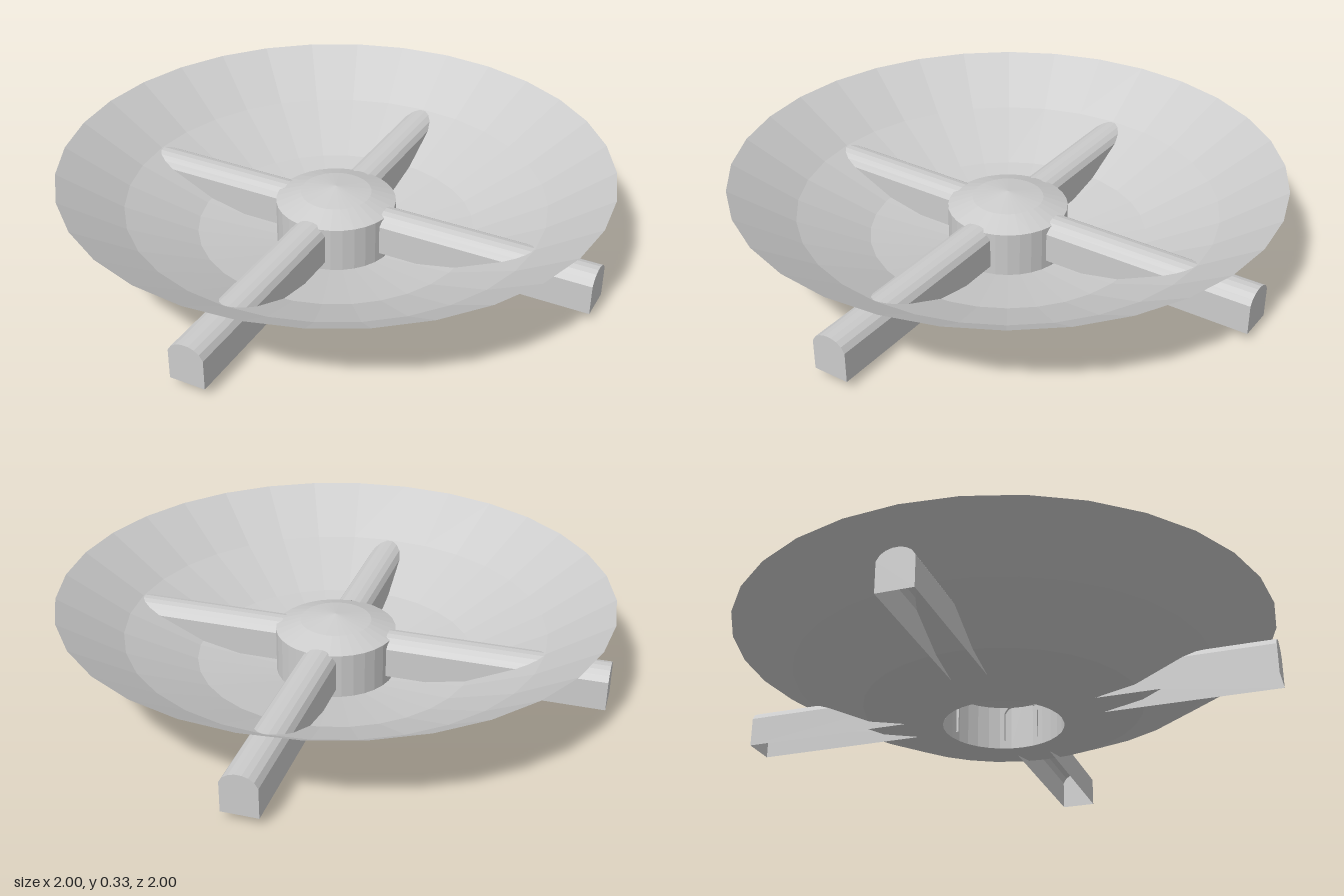
import * as THREE from 'three';
import { mergeGeometries } from 'three/addons/utils/BufferGeometryUtils.js';

const material = new THREE.MeshStandardMaterial({
  color: 0xcccccc, flatShading: true, side: THREE.DoubleSide,
});

function lathe(name, points) {
  const profile = points.map(([r, y]) => new THREE.Vector2(r, y));
  const mesh = new THREE.Mesh(new THREE.LatheGeometry(profile, 32), material);
  mesh.name = name;
  return mesh;
}

// Hollow arched channel along +z: open underneath and at the hub, closed at the tip
function armGeometry(inner, outer) {
  const arch = [
    [0.065, 0.03], [0.065, 0.14], [0.052, 0.16], [0.033, 0.172], [0.012, 0.178],
    [-0.012, 0.178], [-0.033, 0.172], [-0.052, 0.16], [-0.065, 0.14], [-0.065, 0.03],
  ];
  const positions = [];
  for (let i = 0; i < arch.length - 1; i++) {
    const [ax, ay] = arch[i], [bx, by] = arch[i + 1];
    positions.push(ax, ay, outer, ax, ay, inner, bx, by, inner);
    positions.push(ax, ay, outer, bx, by, inner, bx, by, outer);
  }
  const walls = new THREE.BufferGeometry();
  walls.setAttribute('position', new THREE.Float32BufferAttribute(positions, 3));
  walls.computeVertexNormals();

  const tip = new THREE.ShapeGeometry(
    new THREE.Shape(arch.map(([x, y]) => new THREE.Vector2(x, y)))).toNonIndexed();
  tip.translate(0, 0, outer);
  tip.deleteAttribute('uv');
  return mergeGeometries([walls, tip]);
}

export function createModel() {
  const model = new THREE.Group();
  model.name = 'dishWithArms';

  // Open dish with a round hole under the hub
  model.add(lathe('dish', [[0.22, 0], [0.51, 0.06], [0.77, 0.18], [1, 0.33]]));

  // Hollow hub with a shallow domed cap
  model.add(lathe('hubWall', [[0.22, 0], [0.22, 0.167]]));
  model.add(lathe('hubCap', [[0.22, 0.167], [0.13, 0.2], [0, 0.222]]));

  // Four arms passing through the dish
  const geometry = armGeometry(0.2, 1);
  ['frontArm', 'leftArm', 'backArm', 'rightArm'].forEach((name, i) => {
    const arm = new THREE.Mesh(geometry, material);
    arm.name = name;
    arm.rotation.y = i * Math.PI / 2;
    model.add(arm);
  });

  return model;
}
